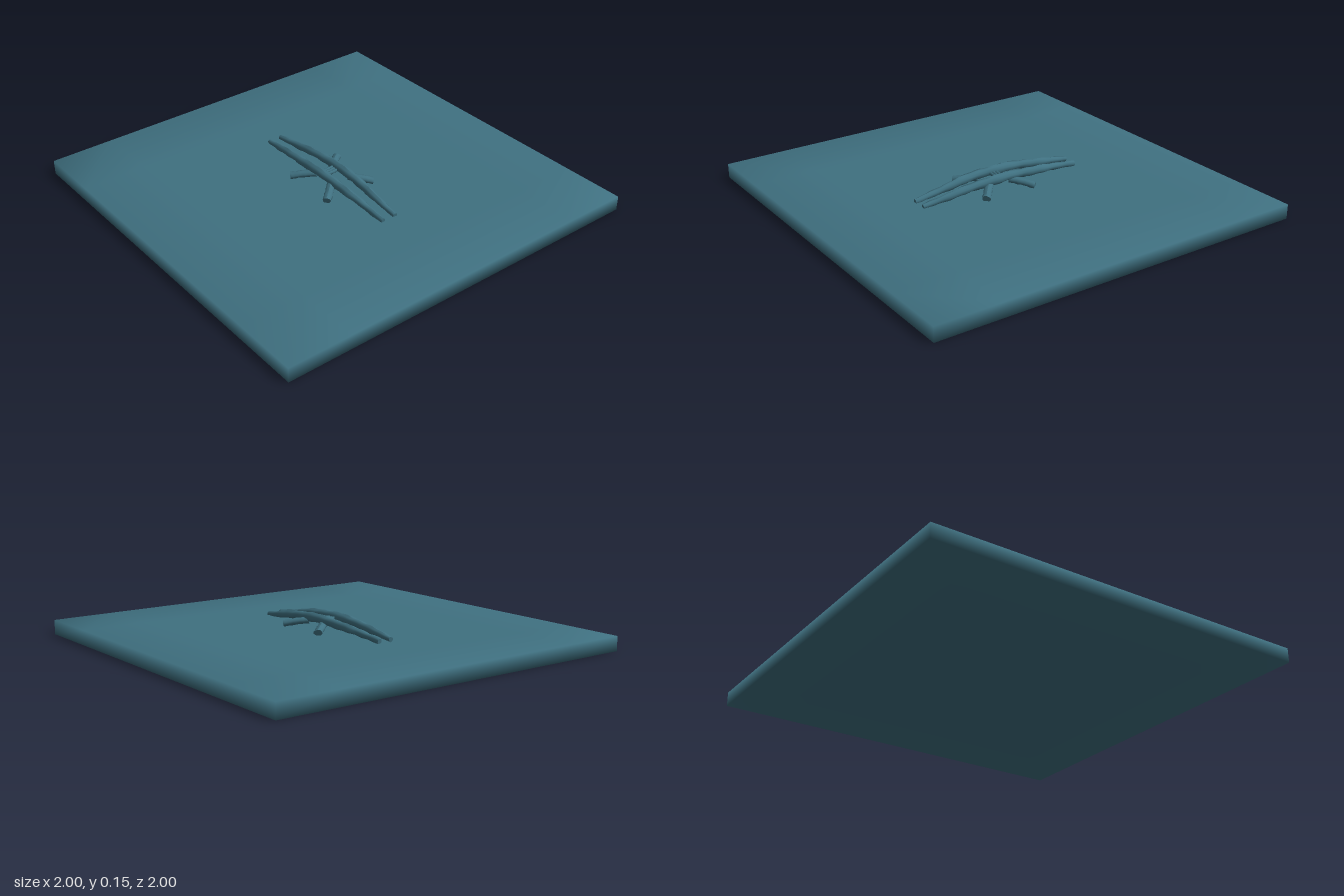
import * as THREE from 'three';
import { mergeVertices } from 'three/addons/utils/BufferGeometryUtils.js';

const TEAL = 0x3f7080;
const material = new THREE.MeshStandardMaterial({ color: TEAL });

function addMesh(parent, name, geometry) {
  const mesh = new THREE.Mesh(geometry, material);
  mesh.name = name;
  parent.add(mesh);
  return mesh;
}

// A knobbly log: a cylinder bent along a path, its half width and half height vary with t
function logGeometry(points, halfWidth, halfHeight, segments, seed, bump) {
  const path = new THREE.CatmullRomCurve3(points.map((p) => new THREE.Vector3(...p)));
  const geometry = new THREE.CylinderGeometry(1, 1, 1, 10, segments);
  const pos = geometry.attributes.position;
  const up = new THREE.Vector3(0, 1, 0);
  for (let i = 0; i < pos.count; i++) {
    const t = THREE.MathUtils.clamp(pos.getY(i) + 0.5, 0, 1);
    const x = pos.getX(i), z = pos.getZ(i);
    const angle = Math.atan2(x, z);
    const tangent = path.getTangentAt(t);
    const side = tangent.clone().cross(up).normalize();
    const top = side.clone().cross(tangent);
    const bark = 1 + bump * (Math.sin(3 * angle + seed + 23 * t)
      + 0.8 * Math.sin(2 * angle + 61 * t * segments / 48 + 2 * seed));
    const p = path.getPointAt(t)
      .addScaledVector(side, x * halfWidth(t) * bark)
      .addScaledVector(top, z * halfHeight(t) * bark);
    pos.setXYZ(i, p.x, Math.max(p.y, 0.066), p.z);
  }
  geometry.computeVertexNormals();
  return geometry;
}

export function createModel() {
  const model = new THREE.Group();
  model.name = 'logBridgeTile';

  // Ground slab with shading that runs softly over its edges
  const slab = new THREE.BoxGeometry(2, 0.075, 2, 6, 1, 6);
  slab.deleteAttribute('normal');
  slab.deleteAttribute('uv');
  const softSlab = mergeVertices(slab);
  softSlab.computeVertexNormals();
  addMesh(model, 'groundSlab', softSlab).position.y = 0.0375;

  const logs = new THREE.Group();
  logs.name = 'logs';
  model.add(logs);

  for (const s of [-1, 1]) {
    const sideName = s > 0 ? 'left' : 'right';

    // Long arched log, thickest in the middle
    const swell = (t) => Math.sin(Math.PI * t);
    addMesh(logs, sideName + 'ArchedLog', logGeometry(
      [[s * 0.036, 0.08, 0.455], [s * 0.04, 0.096, 0.34], [s * 0.05, 0.12, 0.16], [s * 0.052, 0.128, 0],
        [s * 0.05, 0.121, -0.16], [s * 0.04, 0.103, -0.34], [s * 0.034, 0.089, -0.455]],
      (t) => 0.012 + 0.011 * swell(t), (t) => 0.013 + 0.01 * swell(t), 48, 2 + s, 0.1));

    // Short splayed props leaning against the arch
    for (const [end, dir] of [['Front', 1], ['Back', -1]]) {
      const z = (d) => 0.02 + dir * d;
      addMesh(logs, sideName + end + 'Prop', logGeometry(
        [[s * 0.05, 0.108, z(0.06)], [s * 0.1, 0.1, z(0.105)], [s * 0.147, 0.088, z(0.145)]],
        () => 0.021, () => 0.017, 10, s + 2 * dir, 0.07));
    }
  }

  // Lashed crossbars tying the two logs together at the crown
  for (let i = 0; i < 3; i++) {
    const z = -0.018 + i * 0.017;
    addMesh(logs, 'crossbar', logGeometry(
      [[-0.045, 0.122, z], [0, 0.12, z + 0.002], [0.045, 0.122, z]],
      () => 0.008, () => 0.009, 8, i, 0.08));
  }

  return model;
}
